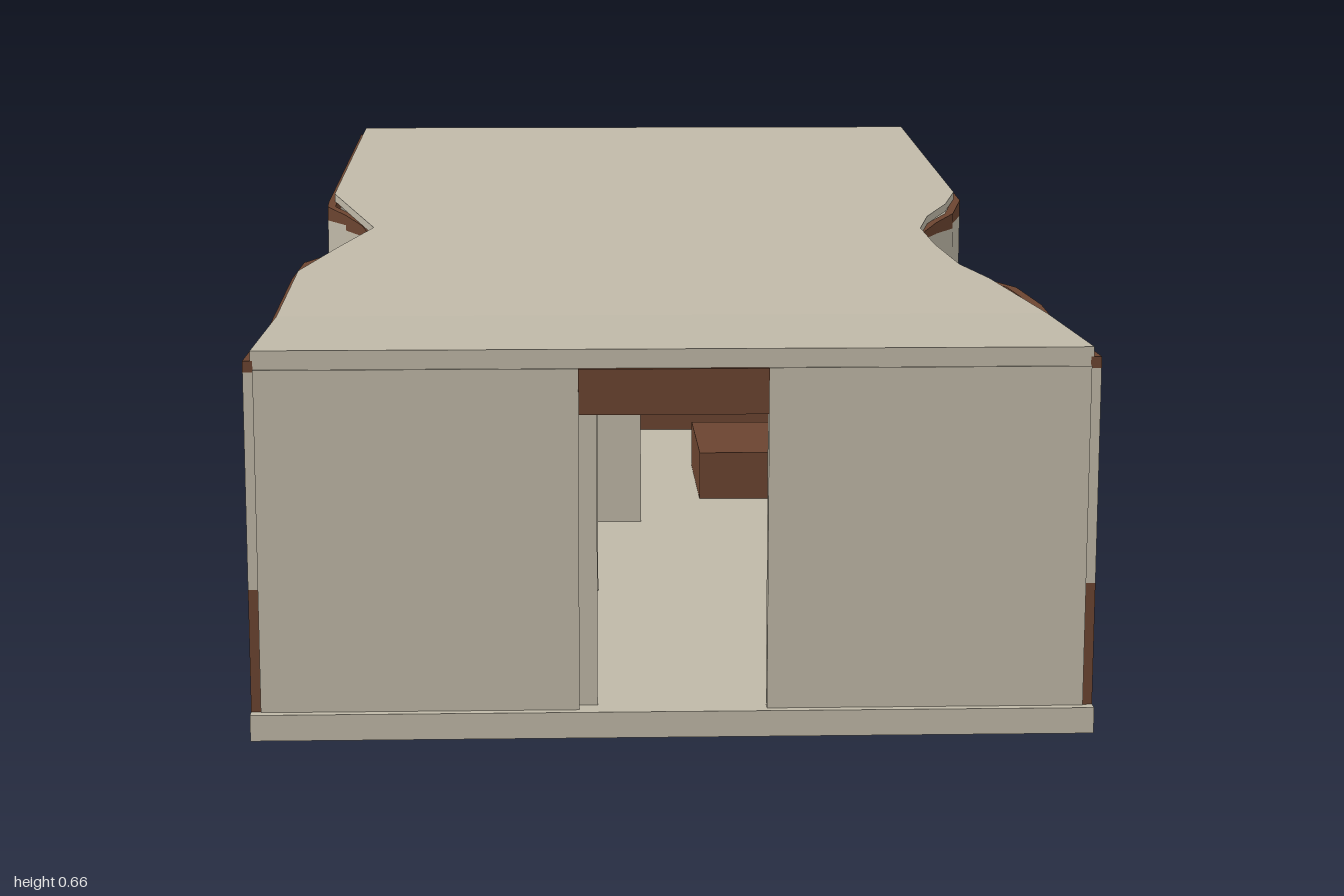
import * as THREE from 'three';

const mat = (name, color, side = THREE.FrontSide) => {
  const m = new THREE.MeshStandardMaterial({ color, side });
  m.name = name;
  return m;
};

// Wall outlines in plan: [z, distance from the centre line], front to back
const WALL_LEFT = [[0.985, 0.555], [0.57, 0.552], [0.455, 0.535], [0.36, 0.475], [0.28, 0.455], [0.2, 0.445],
  [0.04, 0.453], [-0.04, 0.485], [-0.12, 0.525], [-0.24, 0.555], [-0.975, 0.555]];
const WALL_RIGHT = [[0.985, 0.555], [0.38, 0.555], [0.26, 0.548], [0.2, 0.515], [0.13, 0.483], [0.05, 0.462],
  [-0.03, 0.48], [-0.12, 0.515], [-0.2, 0.553], [-0.24, 0.555], [-0.975, 0.555]];
// Roof edges in plan, looser curves than the walls
const ROOF_LEFT = [[0.985, 0.545], [0.68, 0.54], [0.45, 0.495], [0.35, 0.465], [0.2, 0.448], [0.07, 0.443],
  [-0.03, 0.468], [-0.14, 0.515], [-0.25, 0.545], [-0.975, 0.545]];
const ROOF_RIGHT = [[0.985, 0.545], [0.38, 0.545], [0.2, 0.498], [0.05, 0.455], [-0.11, 0.503],
  [-0.25, 0.545], [-0.975, 0.545]];

const FLOOR = 0.035, BAND = 0.2, ROOF_T = 0.013, WALL_T = 0.014;
const roofTop = z => 0.515 + Math.max(0, 0.68 - z) * 0.0885;
const roofUnder = z => roofTop(z) - ROOF_T;

// Cream panels step up toward the back beneath the sloping fascia
const panelTop = z => z > 0.57 ? 0.487 : z > 0.455 ? 0.495 : z > 0.35 ? 0.505 : z > 0.2 ? 0.515
  : z > 0.04 ? 0.53 : z > -0.12 ? 0.547 : z > -0.24 ? 0.556 : 0.565;

function xAt(path, z) {
  for (let i = 0; i < path.length - 1; i++) {
    const [z0, x0] = path[i], [z1, x1] = path[i + 1];
    if (z <= z0 && z >= z1) return x0 + (x1 - x0) * (z0 - z) / (z0 - z1);
  }
  return path[path.length - 1][1];
}

// Closed solid through four-sided sections running front to back: [z, x0, x1, y0, y1]
function loft(sections) {
  const pos = [];
  const rings = sections.map(([z, x0, x1, y0, y1]) => [[x0, y0, z], [x1, y0, z], [x1, y1, z], [x0, y1, z]]);
  const tri = (...p) => p.forEach(v => pos.push(...v));
  for (let s = 0; s < rings.length - 1; s++) {
    const a = rings[s], b = rings[s + 1];
    for (let i = 0; i < 4; i++) {
      const j = (i + 1) % 4;
      tri(a[i], b[i], a[j]);
      tri(a[j], b[i], b[j]);
    }
  }
  const f = rings[0], k = rings[rings.length - 1];
  tri(f[0], f[1], f[2]); tri(f[0], f[2], f[3]);
  tri(k[0], k[2], k[1]); tri(k[0], k[3], k[2]);
  const g = new THREE.BufferGeometry();
  g.setAttribute('position', new THREE.Float32BufferAttribute(pos, 3));
  g.computeVertexNormals();
  return g;
}

export function createModel() {
  const model = new THREE.Group();
  model.name = 'pavilion';
  const cream = mat('cream render', 0xbfb8a7);
  const brown = mat('brown timber', 0x6b4430);
  const glass = mat('blue grey glass', 0x4e6567, THREE.DoubleSide);
  const tan = mat('tan frame', 0x8f7a4c);

  const add = (name, geo, material, parent = model) => {
    const m = new THREE.Mesh(geo, material);
    m.name = name;
    parent.add(m);
    return m;
  };
  // Box given by its limits
  const box = (name, material, x0, x1, y0, y1, z0, z1, parent) => {
    const m = add(name, new THREE.BoxGeometry(x1 - x0, y1 - y0, z1 - z0), material, parent);
    m.position.set((x0 + x1) / 2, (y0 + y1) / 2, (z0 + z1) / 2);
    return m;
  };

  box('baseSlab', cream, -0.555, 0.555, 0, FLOOR, -1, 1);

  // Curved side walls: timber base, cream panels, timber fascia
  for (const [name, side, path] of [['leftWall', 1, WALL_LEFT], ['rightWall', -1, WALL_RIGHT]]) {
    const wall = new THREE.Group();
    wall.name = name;
    model.add(wall);
    const section = ([z, x], y0, y1) =>
      side > 0 ? [z, x - WALL_T, x, y0, y1] : [z, -x, -x + WALL_T, y0, y1];
    add('lowerBand', loft(path.map(p => section(p, FLOOR, BAND))), brown, wall);
    for (let i = 0; i < path.length - 1; i++) {
      const a = path[i], b = path[i + 1];
      const top = Math.min(panelTop((a[0] + b[0]) / 2), roofUnder(a[0]) - 0.012);
      // the long straight run gets its own stepped panels
      const cuts = [a, ...[0.57, 0.455].filter(z => z < a[0] - 0.01 && z > b[0] + 0.01)
        .map(z => [z, xAt(path, z)]), b];
      for (let c = 0; c < cuts.length - 1; c++) {
        const y = cuts.length > 2 ? panelTop((cuts[c][0] + cuts[c + 1][0]) / 2) : top;
        const run = [cuts[c], cuts[c + 1]];
        if (run[0][0] > 0.68 && run[1][0] < 0.68) run.splice(1, 0, [0.68, xAt(path, 0.68)]);
        add('panel', loft(run.map(p => section(p, BAND, y))), cream, wall);
        add('fascia', loft(run.map(p => section(p, y, roofUnder(p[0])))), brown, wall);
      }
    }
  }

  // Roof: level at the front, rising to the back
  const zs = [...new Set([...ROOF_LEFT, ...ROOF_RIGHT].map(p => p[0]).concat(0.68))].sort((a, b) => b - a);
  add('roof', loft(zs.map(z => [z, -xAt(ROOF_RIGHT, z), xAt(ROOF_LEFT, z), roofUnder(z), roofTop(z)])), cream);

  // Front wall with doorway
  box('frontWallRight', cream, -0.542, -0.124, FLOOR, 0.49, 0.968, 0.988);
  box('frontWallLeft', cream, 0.123, 0.542, FLOOR, 0.49, 0.968, 0.988);
  box('frontBeam', cream, -0.542, 0.542, 0.49, 0.503, 0.968, 0.985);
  box('doorLintel', brown, -0.124, 0.123, 0.43, 0.49, 0.968, 0.992);

  // Interior partitions and furniture seen through the doorway
  box('hallPartition', cream, -0.124, -0.1, FLOOR, 0.5, 0.35, 0.968);
  box('innerPartition', cream, -0.1, -0.092, FLOOR, 0.39, 0.3, 0.36);
  box('counter', cream, -0.3, -0.012, FLOOR, 0.283, -0.3, -0.12);
  box('counterTop', brown, -0.3, -0.012, 0.283, 0.29, -0.3, -0.12);
  box('bench', brown, 0.1, 0.3, FLOOR, 0.12, -0.6, -0.3);

  // Glazed back wall
  box('backSill', brown, -0.545, 0.545, FLOOR, 0.11, -1, -0.972);
  box('backHeader', brown, -0.545, 0.545, 0.595, 0.645, -1, -0.972);
  box('backTransom', brown, -0.541, 0.541, 0.57, 0.595, -0.985, -0.972);
  box('backGlass', glass, -0.541, 0.541, 0.11, 0.57, -0.982, -0.977);
  for (const x of [-0.541, 0, 0.541]) box('windowPost', tan, x - 0.011, x + 0.011, 0.11, 0.597, -0.992, -0.973);

  return model;
}
